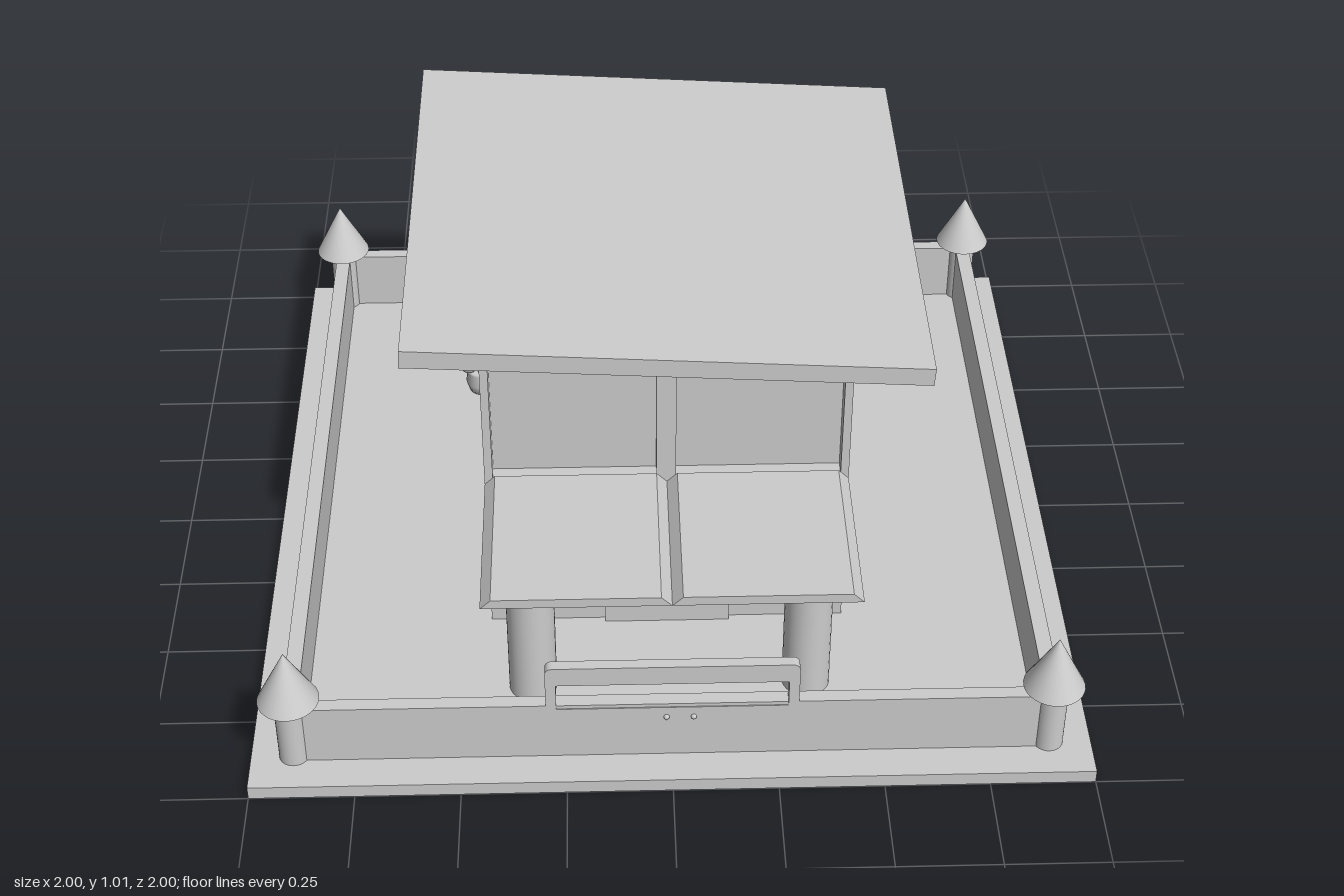
import * as THREE from 'three';

const grey = new THREE.MeshStandardMaterial({ color: 0xcccccc });

export function createModel() {
  const model = new THREE.Group();

  const add = (name, geo, x = 0, y = 0, z = 0, parent = model) => {
    const m = new THREE.Mesh(geo, grey);
    m.name = name;
    m.position.set(x, y, z);
    parent.add(m);
    return m;
  };
  const box = (name, w, h, d, x, y, z) => add(name, new THREE.BoxGeometry(w, h, d), x, y, z);
  const poly = (pts, Type = THREE.Shape) => new Type(pts.map(p => new THREE.Vector2(...p)));
  const extrude = (pts, depth, holes = []) => {
    const s = poly(pts);
    s.holes = holes.map(h => poly(h, THREE.Path));
    return new THREE.ExtrudeGeometry(s, { depth, bevelEnabled: false });
  };

  // Ground slab and low enclosure
  const G = 0.035;
  box('groundSlab', 2, G, 2, 0, G / 2, 0);
  const fh = 0.2 - G, fy = G + fh / 2;
  box('frontFence', 1.83, fh, 0.034, 0, fy, 0.897);
  box('backFence', 1.83, fh, 0.034, 0, fy, -0.935);
  for (const s of [-1, 1]) box('sideFence', 0.038, fh, 1.85, s * 0.897, fy, -0.02);

  // Corner posts with pointed caps
  for (const x of [-0.897, 0.897]) for (const z of [0.895, -0.93]) {
    add('cornerPost', new THREE.CylinderGeometry(0.036, 0.036, 0.19, 32), x, G + 0.095, z);
    add('postCap', new THREE.ConeGeometry(0.073, 0.145, 32), x, 0.2925, z);
  }

  // House body under a sloping roof
  const W = 0.44, T = 0.04, slope = 0.0625;
  const eave = x => 0.928 - slope * x;
  const core = W - T;
  add('houseCore', extrude([[-core, G], [core, G], [core, eave(core)], [-core, eave(-core)]], 2 * core), 0, 0, -core);

  // Opening with a top that follows the roof
  const opening = (a, b, bottom, drop) =>
    [[a, bottom], [a, eave(a) - drop], [b, eave(b) - drop], [b, bottom]];
  const rect = (a, b, c, d) => [[a, c], [a, d], [b, d], [b, c]];
  const endWall = [[-W, G], [W, G], [W, eave(W)], [-W, eave(-W)]];

  add('frontWall', extrude(endWall, T, [
    opening(-0.42, -0.025, 0.495, 0.026), opening(0.022, 0.42, 0.495, 0.026)]), 0, 0, core);
  add('backWall', extrude(endWall, T, [
    opening(-0.405, -0.035, 0.515, 0.034), opening(0.035, 0.405, 0.515, 0.034),
    rect(-0.405, -0.035, 0.105, 0.45), rect(0.035, 0.405, 0.105, 0.45)]), 0, 0, -W);

  // Side walls, each with four recessed panels
  for (const s of [-1, 1]) {
    const top = eave(s * W), holes = [];
    for (const [a, b] of [[-0.395, -0.035], [0.035, 0.395]]) {
      holes.push(rect(a, b, 0.105, 0.45), rect(a, b, 0.515, top - 0.036));
    }
    const wall = add('sideWall', extrude([[-core, G], [core, G], [core, top], [-core, top]], T, holes));
    wall.rotation.y = s * Math.PI / 2;
    wall.position.x = s * core;
  }

  // Tilted flat roof
  const roof = box('roof', 1.215, 0.047, 1.215, -0.002, 0.9525, 0);
  roof.rotation.z = -Math.atan(slope);

  // Porch canopy: two bevelled slabs meeting in a groove
  for (const s of [-1, 1]) {
    add('canopy', extrude([[-0.22, 0], [0.22, 0], [0.195, 0.025], [-0.195, 0.025]], 0.44), s * 0.22, 0.48, 0.44);
    add('porchColumn', new THREE.CylinderGeometry(0.058, 0.058, 0.445, 32), s * 0.333, G + 0.2225, 0.673);
  }

  // Front door with knobs
  box('door', 0.31, 0.35, 0.016, 0, G + 0.175, 0.447);
  for (const x of [-0.025, 0.022]) add('doorKnob', new THREE.SphereGeometry(0.012, 16, 12), x, 0.195, 0.46);

  // Gate arch set into the front fence
  const arch = new THREE.Shape();
  arch.moveTo(-0.297, 0.15).lineTo(0.297, 0.15).lineTo(0.297, 0.3);
  arch.quadraticCurveTo(0.297, 0.32, 0.277, 0.32).lineTo(-0.277, 0.32);
  arch.quadraticCurveTo(-0.297, 0.32, -0.297, 0.3);
  arch.holes.push(poly(rect(-0.272, 0.272, 0.19, 0.266), THREE.Path));
  add('gateArch', new THREE.ExtrudeGeometry(arch, { depth: 0.027, bevelEnabled: false }), 0, 0, 0.889);
  for (const x of [-0.014, 0.05]) add('gateKnob', new THREE.SphereGeometry(0.007, 12, 8), x, 0.16, 0.917);

  // Potted flowers behind the house
  const profile = [[0, 0], [0.036, 0], [0.045, 0.03], [0.04, 0.062], [0.044, 0.075], [0, 0.075]];
  for (const s of [-1, 1]) {
    const plant = new THREE.Group();
    plant.name = 'pottedFlower';
    plant.position.set(s * 0.49, G, -0.51);
    model.add(plant);
    add('pot', new THREE.LatheGeometry(profile.map(p => new THREE.Vector2(...p)), 24), 0, 0, 0, plant);
    const ball = new THREE.SphereGeometry(0.026, 16, 12);
    add('bloom', ball, 0, 0.135, 0, plant);
    for (let i = 0; i < 5; i++) {
      const a = i / 5 * Math.PI * 2;
      add('bloom', ball, 0.042 * Math.cos(a), 0.102, 0.042 * Math.sin(a), plant);
    }
  }
  return model;
}
